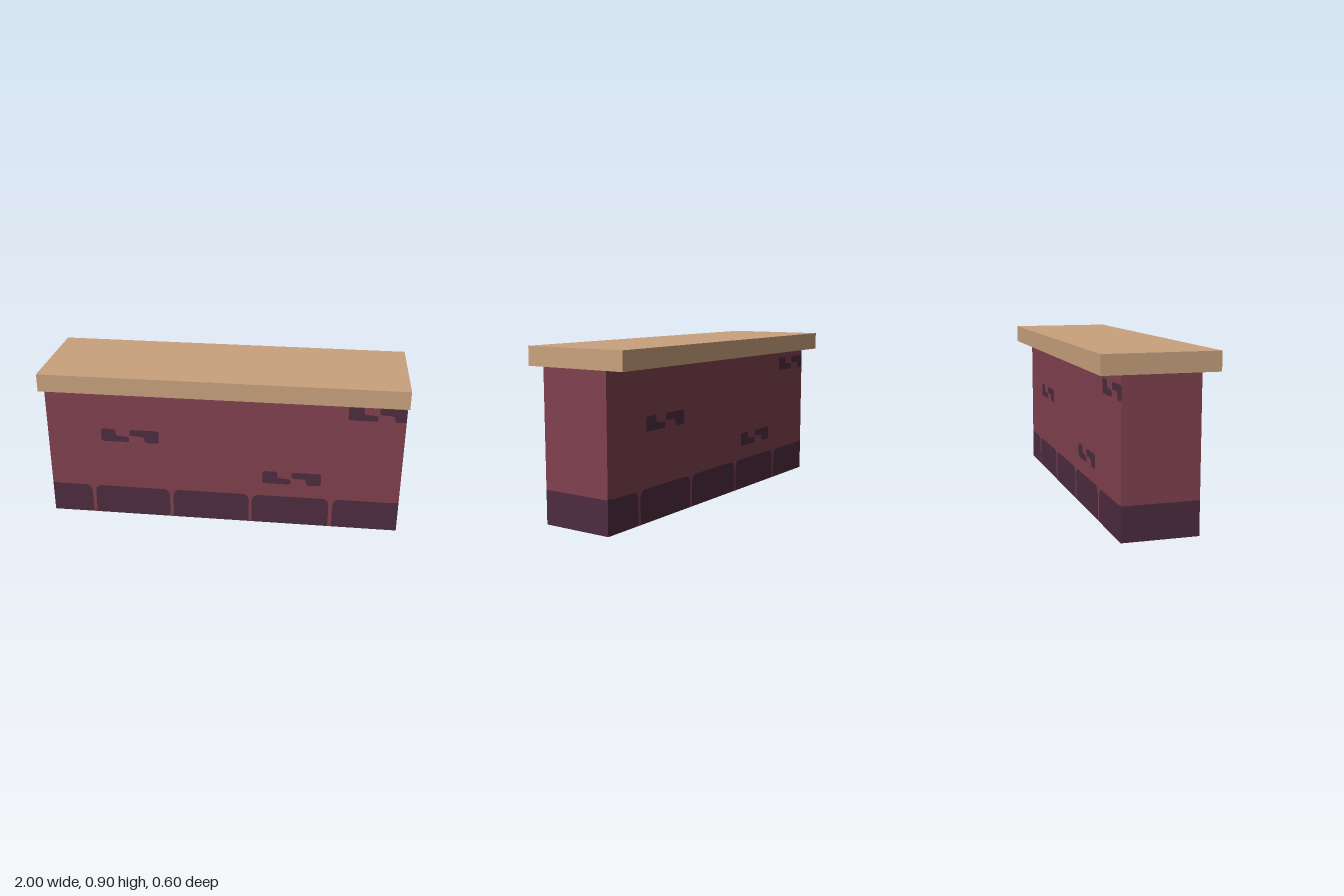
import * as THREE from 'three';

const W = 1, D = 0.2, H = 0.8, BASE = 0.18;

// Closed outline with each corner rounded by r
function rounded(points, r) {
  const v = points.map(([x, y]) => new THREE.Vector2(x, y));
  const out = [];
  v.forEach((p, i) => {
    const a = v[(i + v.length - 1) % v.length], b = v[(i + 1) % v.length];
    const start = p.clone().add(a.clone().sub(p).setLength(r));
    const end = p.clone().add(b.clone().sub(p).setLength(r));
    out.push(...new THREE.QuadraticBezierCurve(start, p, end).getPoints(3));
  });
  return out;
}

// Base stone, from its lower left over the top to its lower right
function stone(x0, x1) {
  const pts = [[x0, 0]];
  if (x0 > -W) pts.push([x0, 0.14], [x0 + 0.008, 0.165], [x0 + 0.03, 0.178]);
  else pts.push([x0, 0.185], [x0 + 0.04, 0.178]);
  if (x1 < W) pts.push([x1 - 0.03, 0.178], [x1 - 0.008, 0.165], [x1, 0.14]);
  else pts.push([x1 - 0.04, 0.178], [x1, 0.185]);
  pts.push([x1, 0]);
  return pts.map(([x, y]) => new THREE.Vector2(x, y));
}

// Exposed brick mark: two L-shaped pieces
function brickMark(x, y) {
  const left = [[0, 0], [0.16, 0], [0.16, 0.033], [0.083, 0.038], [0.083, 0.077], [0, 0.077]];
  const right = [[0.165, 0.04], [0.245, 0.036], [0.25, 0], [0.33, 0], [0.33, 0.077], [0.165, 0.077]];
  return [left, right].map((piece) =>
    rounded(piece.map(([px, py]) => [Math.min(x + px, 0.999), y + py]), 0.012));
}

export function createModel() {
  const paint = new THREE.MeshStandardMaterial({ name: 'wallRed', color: 0x80414e, side: THREE.DoubleSide });
  const dark = new THREE.MeshStandardMaterial({ name: 'darkPlum', color: 0x4d2c40, side: THREE.DoubleSide });
  const tan = new THREE.MeshStandardMaterial({ name: 'capTan', color: 0xc9a27e });

  const group = new THREE.Group();
  group.name = 'lowWall';
  const add = (parent, name, geometry, material) => {
    const mesh = new THREE.Mesh(geometry, material);
    mesh.name = name;
    parent.add(mesh);
    return mesh;
  };

  // Overhanging cap slab
  add(group, 'cap', new THREE.BoxGeometry(2 * W, 0.1, 0.6), tan).position.y = H + 0.05;

  // Long faces: painted sheet cut out around the stones and brick marks
  const edges = [[-W, -0.765], [-0.745, -0.305], [-0.285, 0.155], [0.172, 0.61], [0.632, W]];
  const stones = edges.map(([a, b]) => stone(a, b));
  const marks = [[-0.69, 0.47], [0.23, 0.258], [0.69, 0.677]].flatMap(([x, y]) => brickMark(x, y));
  const sheet = new THREE.Shape([
    ...stones.flat().slice(1, -1), new THREE.Vector2(W, H), new THREE.Vector2(-W, H),
  ]);
  sheet.holes = marks.map((m) => new THREE.Path(m));
  const sheetGeo = new THREE.ShapeGeometry(sheet);
  const stoneGeo = new THREE.ShapeGeometry(stones.map((s) => new THREE.Shape(s)));
  const markGeo = new THREE.ShapeGeometry(marks.map((m) => new THREE.Shape(m)));

  for (const [name, turn] of [['front', 0], ['back', Math.PI]]) {
    const face = new THREE.Group();
    face.name = name + 'Face';
    for (const [part, geo, mat] of [
      ['Wall', sheetGeo, paint], ['BaseStones', stoneGeo, dark], ['BrickMarks', markGeo, dark],
    ]) add(face, name + part, geo, mat).position.z = D;
    face.rotation.y = turn;
    group.add(face);
  }

  // Plain ends with a dark base band; the underside stays open
  for (const [name, s] of [['left', 1], ['right', -1]]) {
    for (const [part, y0, y1, mat] of [['EndWall', BASE, H, paint], ['EndBase', 0, BASE, dark]]) {
      const mesh = add(group, name + part, new THREE.PlaneGeometry(2 * D, y1 - y0), mat);
      mesh.position.set(s * W, (y0 + y1) / 2, 0);
      mesh.rotation.y = s * Math.PI / 2;
    }
  }
  return group;
}
